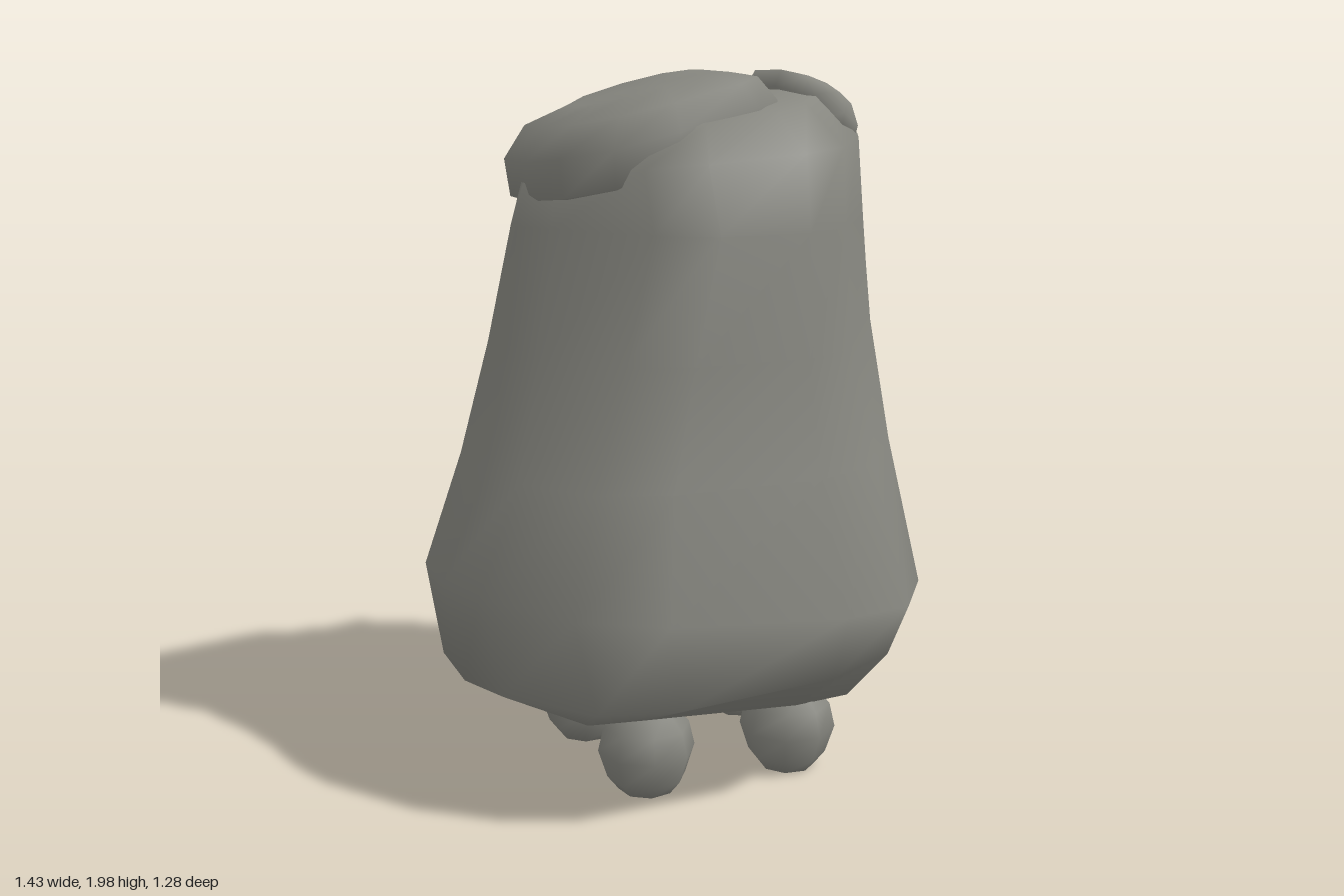
import * as THREE from 'three';

const material = new THREE.MeshStandardMaterial({ color: 0x878780 });

// Skin a stack of closed loops (bottom to top) and close both ends
function loft(name, rings) {
  const n = rings[0].length;
  const centre = r => [0, 1, 2].map(k => r.reduce((s, p) => s + p[k], 0) / n);
  const pos = rings.flat(2);
  pos.push(...centre(rings[0]), ...centre(rings[rings.length - 1]));
  const bottom = rings.length * n, top = bottom + 1, last = bottom - n;
  const index = [];
  for (let i = 0; i < n; i++) {
    const j = (i + 1) % n;
    for (let r = 0; r < rings.length - 1; r++) {
      const a = r * n + i, b = r * n + j;
      index.push(a, a + n, b, b, a + n, b + n);
    }
    index.push(bottom, i, j, last + i, top, last + j);
  }
  const geo = new THREE.BufferGeometry();
  geo.setAttribute('position', new THREE.Float32BufferAttribute(pos, 3));
  geo.setIndex(index);
  geo.computeVertexNormals();
  const mesh = new THREE.Mesh(geo, material);
  mesh.name = name;
  return mesh;
}

// Eight side directions of the body, turning from +x towards +z
const C = 0.806, S = 0.592;
const sides = [[1, 0], [C, S], [0, 1], [-C, S], [-1, 0], [-C, -S], [0, -1], [C, -S]];

// Body cross-section: an octagon with the given reach in each direction,
// its corners cut off, tilted along x and z
function bodyRing(y, tiltX, tiltZ, reach) {
  const corners = sides.map(([a, b], i) => {
    const k = (i + 1) % 8, [c, d] = sides[k];
    const det = a * d - b * c;
    return [(reach[i] * d - reach[k] * b) / det, (reach[k] * a - reach[i] * c) / det];
  });
  return corners.flatMap((p, i) => {
    const q = corners[(i + 1) % 8];
    return [0.2, 0.8].map(t => {
      const x = p[0] + (q[0] - p[0]) * t, z = p[1] + (q[1] - p[1]) * t;
      return [x, y + tiltX * x + tiltZ * z, z];
    });
  });
}

// Cap: an outline scaled towards its centre at several heights
function cap(name, outline, cx, cz, levels) {
  return loft(name, levels.map(([scale, height]) => outline.map(([px, pz]) => {
    const x = cx + (px - cx) * scale, z = cz + (pz - cz) * scale;
    return [x, height(x), z];
  })));
}

// Foot: a rounded eight-sided stub
function foot(name, x, z, spin) {
  const profile = [[0.08, 0.01], [0.112, 0.05], [0.138, 0.13], [0.122, 0.2], [0.07, 0.255]];
  const mesh = loft(name, profile.map(([r, y]) => Array.from({ length: 8 }, (_, i) => {
    const a = i * Math.PI / 4 + spin;
    return [r * Math.cos(a), y, r * Math.sin(a)];
  })));
  mesh.position.set(x, 0, z);
  return mesh;
}

export function createModel() {
  const model = new THREE.Group();
  model.name = 'lumpyCreature';

  // Body
  model.add(loft('body', [
    bodyRing(0.135, 0, 0.12, [0.36, 0.32, 0.15, 0.23, 0.2, 0.3, 0.3, 0.33]),
    bodyRing(0.23, -0.06, 0.03, [0.55, 0.55, 0.4, 0.55, 0.4, 0.5, 0.51, 0.46]),
    bodyRing(0.385, 0.06, 0, [0.67, 0.68, 0.64, 0.67, 0.665, 0.63, 0.63, 0.62]),
    bodyRing(0.58, -0.08, 0, [0.715, 0.73, 0.63, 0.71, 0.72, 0.64, 0.645, 0.68]),
    bodyRing(0.93, 0, 0, [0.69, 0.62, 0.555, 0.61, 0.59, 0.59, 0.575, 0.66]),
    bodyRing(1.25, 0, 0, [0.67, 0.55, 0.505, 0.49, 0.505, 0.5, 0.445, 0.62]),
    bodyRing(1.58, 0, 0, [0.625, 0.525, 0.49, 0.4, 0.455, 0.39, 0.345, 0.59]),
    bodyRing(1.76, 0.08, 0, [0.605, 0.505, 0.41, 0.36, 0.42, 0.345, 0.28, 0.57]),
    bodyRing(1.86, 0.16, 0, [0.47, 0.4, 0.34, 0.28, 0.33, 0.27, 0.23, 0.44]),
    bodyRing(1.9, 0.12, 0, [0.35, 0.29, 0.2, 0.19, 0.22, 0.18, 0.14, 0.31]),
  ]));

  // Large cap, sloping down to the right side
  const large = [[-0.31, -0.235], [-0.1, -0.25], [0.13, -0.265], [0.25, -0.19], [0.265, -0.07],
    [0.24, 0.12], [0.22, 0.25], [0.14, 0.31], [-0.1, 0.335], [-0.27, 0.3], [-0.38, 0.18],
    [-0.435, 0.05], [-0.435, -0.14]];
  model.add(cap('largeCap', large, -0.08, 0.03, [
    [0.85, x => 1.75 + 0.28 * x],
    [0.96, x => 1.765 + 0.28 * x],
    [1, x => 1.86 + 0.25 * x],
    [0.85, x => 1.935 + 0.24 * x],
    [0.55, x => 1.975 + 0.2 * x - 0.3 * x * x],
  ]));

  // Small cap, sloping down to the left side
  const small = [[0.32, -0.17], [0.45, -0.26], [0.53, -0.22], [0.61, -0.16], [0.6, -0.02],
    [0.56, 0.08], [0.47, 0.165], [0.36, 0.15], [0.31, 0.05]];
  model.add(cap('smallCap', small, 0.46, -0.04, [
    [0.92, x => 1.81 - 0.3 * (x - 0.46)],
    [1, x => 1.88 - 0.45 * (x - 0.46)],
    [0.86, x => 1.935 - 0.45 * (x - 0.46)],
    [0.5, x => 1.957 - 0.38 * (x - 0.46)],
  ]));

  // Feet
  model.add(
    foot('frontRightFoot', -0.185, 0.3, 0.2),
    foot('frontLeftFoot', 0.255, 0.3, 0.5),
    foot('backRightFoot', -0.215, -0.13, 0.35),
    foot('backLeftFoot', 0.3, -0.13, 0.1),
  );
  return model;
}
